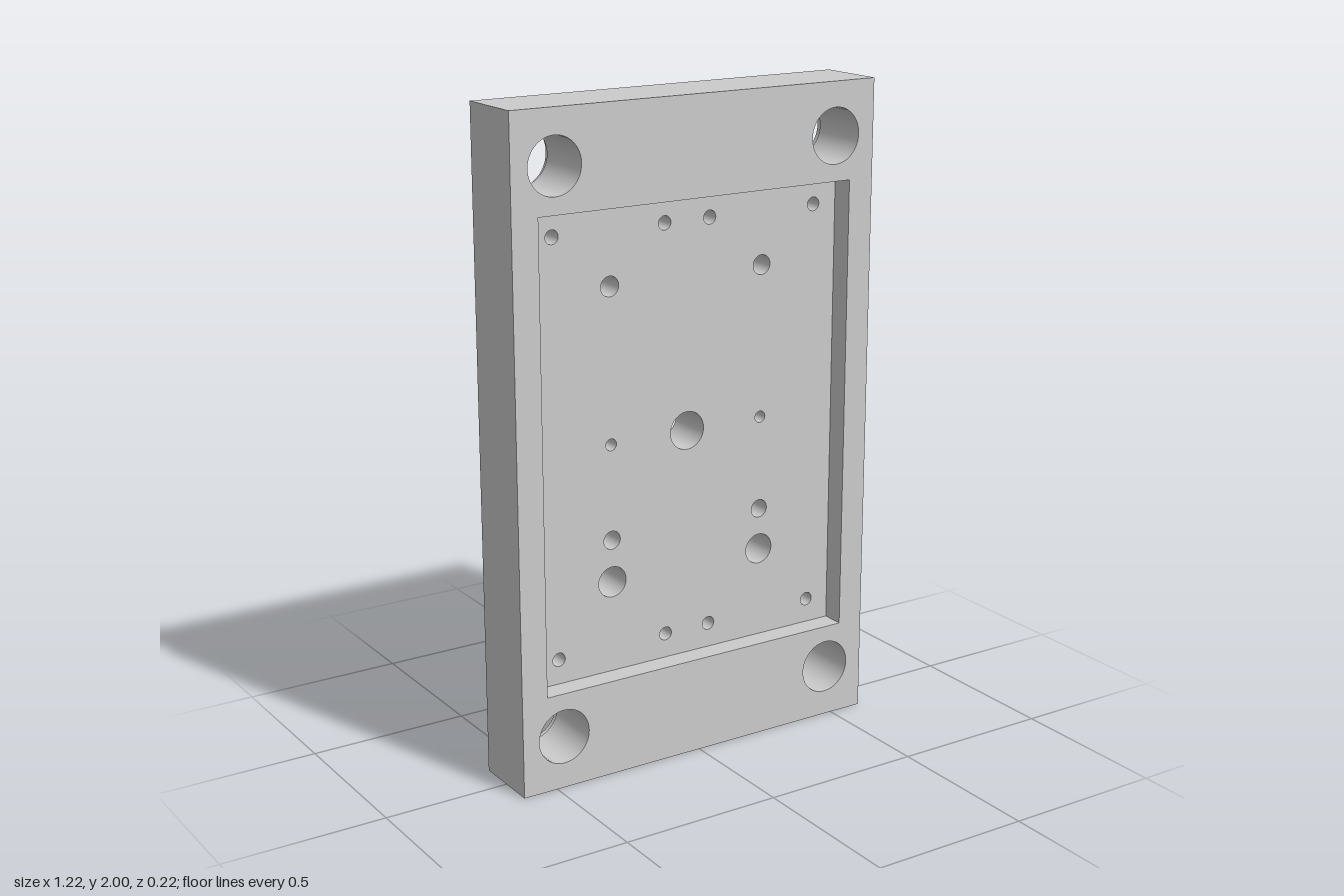
import * as THREE from 'three';

const W = 0.61, H = 2, FRONT = 0.11, BACK = -0.11;
const FLOOR = 0.04, STEP = -0.08;                     // pocket floor, counterbore shoulder
const POCKET = [-0.527, 0.297, 0.527, 1.705];
const PLATE = [-W, 0, W, H];
const SEG = 48;

const outer = new THREE.MeshStandardMaterial({ color: 0xcccccc });
const inner = new THREE.MeshStandardMaterial({ color: 0xcccccc, side: THREE.BackSide });

// Every hole position is mirrored about x = 0
const pair = (x, y, r) => [{ x, y, r }, { x: -x, y, r }];
const cornerHoles = [...pair(0.473, 0.162, 0.084), ...pair(0.473, 1.84, 0.084)];
const counterbores = cornerHoles.map(h => ({ ...h, r: 0.097 }));
const throughHoles = [
  { x: 0, y: 1, r: 0.058 },
  ...pair(0.262, 1.468, 0.03), ...pair(0.262, 0.708, 0.028), ...pair(0.262, 0.578, 0.047),
];
const tappedHoles = [
  ...[0.373, 1.63].flatMap(y => [...pair(0.447, y, 0.021), ...pair(0.077, y, 0.021)]),
  ...pair(0.262, 1, 0.018),
];
const backHoles = [...pair(0.278, 0.162, 0.028), ...pair(0.278, 1.84, 0.028)];

const rectPoints = ([x0, y0, x1, y1]) =>
  [[x0, y0], [x1, y0], [x1, y1], [x0, y1]].map(p => new THREE.Vector2(...p));

function circlePath({ x, y, r }, Type = THREE.Path) {
  const p = new Type();
  p.absarc(x, y, r, 0, Math.PI * 2, false);
  return p;
}

export function createModel() {
  const group = new THREE.Group();

  const add = (name, geometry, material = outer) => {
    const mesh = new THREE.Mesh(geometry, material);
    mesh.name = name;
    group.add(mesh);
  };

  // Flat face with holes; the layout is symmetric, so turning it round keeps the hole positions
  const face = (name, shape, holes, z, facingBack = false) => {
    shape.holes.push(...holes);
    const g = new THREE.ShapeGeometry(shape, SEG / 2);
    if (facingBack) g.rotateY(Math.PI);
    add(name, g.translate(0, 0, z));
  };

  // Straight walls round a rectangle between two depths
  const walls = (name, rect, z0, z1, material) => {
    const pts = rectPoints(rect), pos = [];
    pts.forEach((a, i) => {
      const b = pts[(i + 1) % 4];
      pos.push(a.x, a.y, z0, b.x, b.y, z0, b.x, b.y, z1);
      pos.push(a.x, a.y, z0, b.x, b.y, z1, a.x, a.y, z1);
    });
    const g = new THREE.BufferGeometry();
    g.setAttribute('position', new THREE.Float32BufferAttribute(pos, 3));
    g.computeVertexNormals();
    add(name, g, material);
  };

  // Round bore seen from the inside
  const bore = (name, { x, y, r }, z0, z1) => {
    const g = new THREE.CylinderGeometry(r, r, z1 - z0, SEG, 1, true);
    add(name, g.rotateX(Math.PI / 2).translate(x, y, (z0 + z1) / 2), inner);
  };

  // Blind hole with a conical drill point; dir is the drilling direction along z
  const blindHole = (name, h, zOpen, depth, dir) => {
    const zEnd = zOpen + dir * depth, tip = h.r * 0.6;
    bore(name, h, Math.min(zOpen, zEnd), Math.max(zOpen, zEnd));
    const g = new THREE.ConeGeometry(h.r, tip, SEG, 1, true);
    g.rotateX(dir * Math.PI / 2).translate(h.x, h.y, zEnd + dir * tip / 2);
    add(name + 'Point', g, inner);
  };

  const circles = list => list.map(h => circlePath(h));

  // Plate body
  walls('plateSides', PLATE, BACK, FRONT, outer);
  face('plateFront', new THREE.Shape(rectPoints(PLATE)),
    [new THREE.Path(rectPoints(POCKET)), ...circles(cornerHoles)], FRONT);
  face('plateBack', new THREE.Shape(rectPoints(PLATE)),
    circles([...counterbores, ...throughHoles, ...backHoles]), BACK, true);

  // Rectangular pocket
  walls('pocketWalls', POCKET, FLOOR, FRONT, inner);
  face('pocketFloor', new THREE.Shape(rectPoints(POCKET)),
    circles([...throughHoles, ...tappedHoles]), FLOOR);

  // Corner holes, counterbored from the back
  cornerHoles.forEach((h, i) => {
    bore('cornerHole', h, STEP, FRONT);
    bore('counterbore', counterbores[i], BACK, STEP);
    face('counterboreShoulder', circlePath(counterbores[i], THREE.Shape), [circlePath(h)], STEP, true);
  });

  // Through holes and blind holes
  throughHoles.forEach(h => bore('throughHole', h, BACK, FLOOR));
  tappedHoles.forEach(h => blindHole('tappedHole', h, FLOOR, 0.09, -1));
  backHoles.forEach(h => blindHole('backHole', h, BACK, 0.12, 1));

  return group;
}
